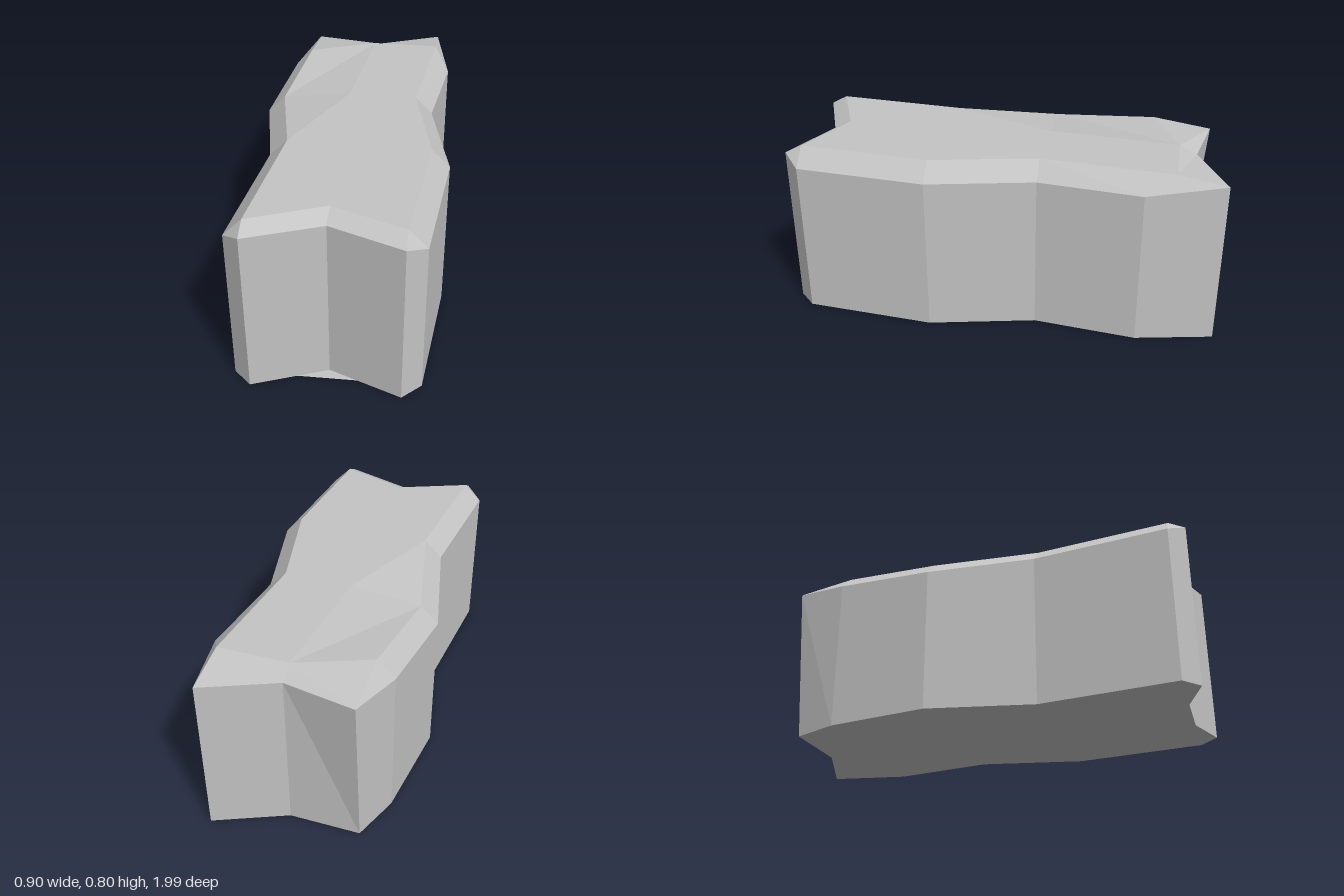
import * as THREE from 'three';

// Outline clockwise from above: [x, z, wall height, ridge index, optional z at the base]
const outline = [
  [-0.32, -0.92, 0.76, 0, -0.86], [0, -0.86, 0.76, 1], [0.32, -1, 0.76, 2],
  [0.395, -0.65, 0.72, 2], [0.34, -0.18, 0.72, 3], [0.45, 0.3, 0.72, 4], [0.4, 0.9, 0.72, 5],
  [0.32, 0.98, 0.76, 5], [0, 0.86, 0.76, 6], [-0.32, 0.99, 0.76, 7],
  [-0.4, 0.92, 0.72, 7], [-0.345, 0.3, 0.72, 8], [-0.455, -0.18, 0.68, 9], [-0.4, -0.65, 0.72, 0],
];

// Inner ridge around the top, with one dented point on the right
const ridge = [
  [-0.32, 0.8, -0.65], [0, 0.8, -0.78], [0.32, 0.8, -0.78], [0.26, 0.8, -0.18], [0.37, 0.8, 0.3],
  [0.32, 0.8, 0.9], [0, 0.8, 0.78], [-0.32, 0.8, 0.915], [-0.265, 0.8, 0.3], [-0.375, 0.76, -0.18],
];

// Polygons, counter-clockwise from outside, fanned into flat triangles
function facets(name, polygons, material) {
  const pos = [];
  for (const p of polygons) {
    for (let i = 1; i < p.length - 1; i++) {
      if (p[i] === p[i + 1] || p[0] === p[i]) continue;
      pos.push(...p[0], ...p[i], ...p[i + 1]);
    }
  }
  const geometry = new THREE.BufferGeometry();
  geometry.setAttribute('position', new THREE.Float32BufferAttribute(pos, 3));
  geometry.computeVertexNormals();
  const mesh = new THREE.Mesh(geometry, material);
  mesh.name = name;
  return mesh;
}

export function createModel() {
  const group = new THREE.Group();
  group.name = 'stoneBlock';
  const stone = new THREE.MeshStandardMaterial({ color: 0xc4c4c4, flatShading: true });
  stone.name = 'grey stone';

  const base = outline.map(([x, z, , , zBase]) => [x, 0, zBase ?? z]);
  const rim = outline.map(([x, z, y]) => [x, y, z]);
  const inner = outline.map((p) => ridge[p[3]]);

  // Upright sides and the chamfer above them
  const band = (low, high) => low.map((p, i) => {
    const j = (i + 1) % low.length;
    return [p, high[i], high[j], low[j]];
  });
  group.add(facets('walls', band(base, rim), stone));
  group.add(facets('chamfer', band(rim, inner), stone));

  // Top: two strips either side of a centre line
  const left = [0, 9, 8, 7].map((i) => ridge[i]);
  const right = [2, 3, 4, 5].map((i) => ridge[i]);
  const middle = [ridge[1], [-0.055, 0.8, -0.18], [0.055, 0.8, 0.3], ridge[6]];
  const top = [];
  for (let i = 0; i < 3; i++) {
    top.push([left[i + 1], middle[i + 1], middle[i], left[i]]);
    top.push([middle[i + 1], right[i + 1], right[i], middle[i]]);
  }
  group.add(facets('topFace', top, stone));

  // Flat underside
  const under = [
    [0, 1, 13], [1, 3, 13], [1, 2, 3], [3, 4, 12, 13], [4, 5, 11, 12], [5, 6, 10, 11],
    [6, 7, 8], [6, 8, 10], [8, 9, 10],
  ].map((face) => face.map((i) => base[i]));
  group.add(facets('underside', under, stone));

  return group;
}
